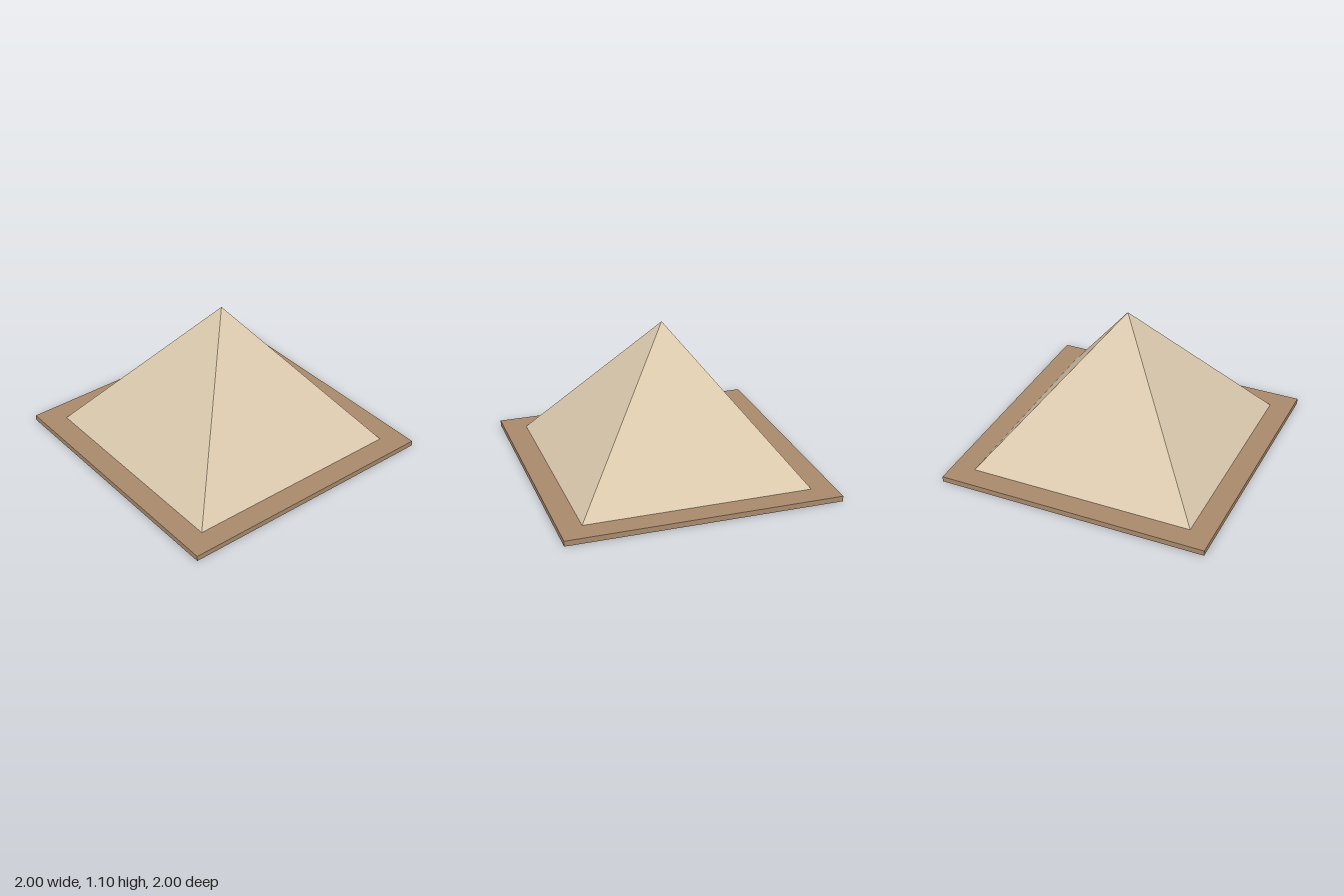
import * as THREE from 'three';

export function createModel() {
  const model = new THREE.Group();
  model.name = 'pyramidOnBase';

  const sandstone = new THREE.MeshStandardMaterial({ color: 0xddcbaf });
  sandstone.name = 'sandstone';
  sandstone.flatShading = true;
  const earth = new THREE.MeshStandardMaterial({ color: 0xa98a6c });
  earth.name = 'earth';

  const baseHeight = 0.04;
  const apexHeight = 1.1;
  const halfWidth = 0.833;

  // Square ground slab
  const base = new THREE.Mesh(new THREE.BoxGeometry(2, baseHeight, 2), earth);
  base.name = 'baseSlab';
  base.position.y = baseHeight / 2;
  model.add(base);

  // Four-sided pyramid, turned so its sides line up with the slab
  const height = apexHeight - baseHeight;
  const shape = new THREE.ConeGeometry(halfWidth * Math.SQRT2, height, 4);
  shape.rotateY(Math.PI / 4);
  const pyramid = new THREE.Mesh(shape, sandstone);
  pyramid.name = 'pyramid';
  pyramid.position.y = baseHeight + height / 2;
  model.add(pyramid);

  return model;
}
